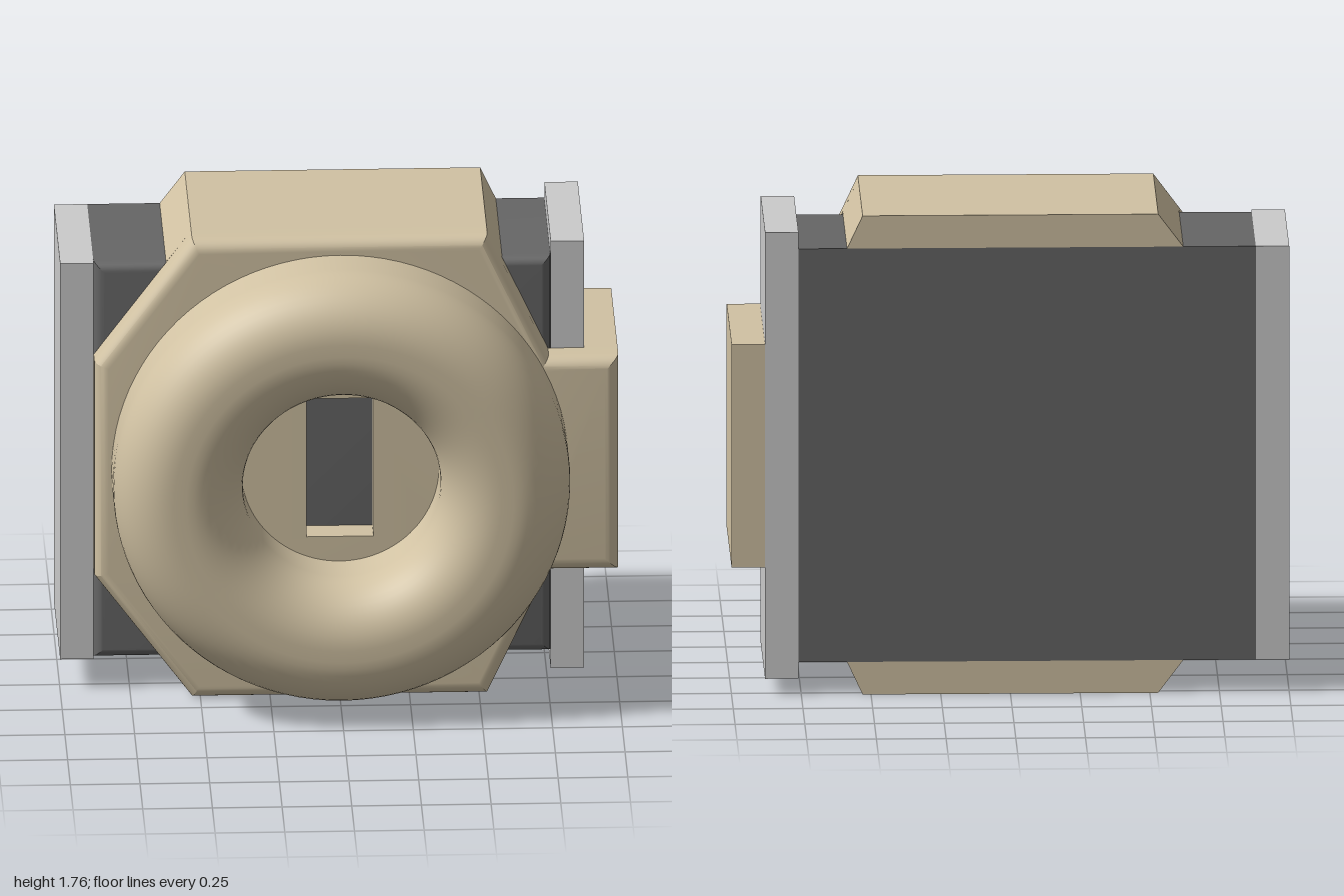
import * as THREE from 'three';
import { toCreasedNormals } from 'three/addons/utils/BufferGeometryUtils.js';

const BACK = -0.53, SEAT = 0.06, FACE = 0.17, MID = 0.88;

const beige = new THREE.MeshStandardMaterial({ color: 0xd1c2a3 });
const dark = new THREE.MeshStandardMaterial({ color: 0x666666 });
const grey = new THREE.MeshStandardMaterial({ color: 0xcccccc });

const rect = (x0, y0, x1, y1) => [[x0, y0], [x1, y0], [x1, y1], [x0, y1]];

// Moves every side of a counter-clockwise outline inward by d
function inset(pts, d) {
  const n = pts.length;
  const normal = (a, b) => {
    const l = Math.hypot(b[0] - a[0], b[1] - a[1]);
    return [(a[1] - b[1]) / l, (b[0] - a[0]) / l];
  };
  return pts.map((p, i) => {
    const n1 = normal(pts[(i + n - 1) % n], p), n2 = normal(p, pts[(i + 1) % n]);
    const k = d / (1 + n1[0] * n2[0] + n1[1] * n2[1]);
    return [p[0] + k * (n1[0] + n2[0]), p[1] + k * (n1[1] + n2[1])];
  });
}

// Prism from z0 to z1 whose front edge is rounded by r, with an optional hole
function slab(outline, z0, z1, r, hole) {
  const rings = [[0, z0], [0, z1 - r - 0.002]];
  const steps = r > 0 ? 8 : 0;
  for (let i = 0; i <= steps; i++) {
    const a = steps ? (i / steps) * Math.PI / 2 : 0;
    rings.push([r * (1 - Math.cos(a)), z1 - r + r * Math.sin(a)]);
  }
  const pos = [];
  const quad = (a, b, c, d) => pos.push(...a, ...b, ...c, ...a, ...c, ...d);
  const loops = rings.map(([d, z]) => inset(outline, d).map(p => [...p, z]));
  const walls = (lo, hi) => lo.forEach((p, i) => {
    const j = (i + 1) % lo.length;
    quad(p, lo[j], hi[j], hi[i]);
  });
  for (let k = 0; k + 1 < loops.length; k++) walls(loops[k], loops[k + 1]);
  if (hole) walls(hole.map(p => [...p, z1]), hole.map(p => [...p, z0]));

  // Flat front and back
  const cap = (pts, z, flip) => {
    const v = list => list.map(p => new THREE.Vector2(p[0], p[1]));
    const shape = new THREE.Shape(v(pts));
    if (hole) shape.holes.push(new THREE.Path(v(hole)));
    const g = new THREE.ShapeGeometry(shape).toNonIndexed().getAttribute('position');
    for (let i = 0; i < g.count; i += 3) {
      for (const k of flip ? [0, 2, 1] : [0, 1, 2]) pos.push(g.getX(i + k), g.getY(i + k), z);
    }
  };
  cap(loops[loops.length - 1], z1, false);
  cap(outline, z0, true);

  const geo = new THREE.BufferGeometry();
  geo.setAttribute('position', new THREE.Float32BufferAttribute(pos, 3));
  return toCreasedNormals(geo, 0.35);
}

export function createModel() {
  const model = new THREE.Group();
  model.name = 'component';
  const add = (name, geometry, material) => {
    const mesh = new THREE.Mesh(geometry, material);
    mesh.name = name;
    model.add(mesh);
    return mesh;
  };

  // Front plate with side tab and central slot
  const plate = [
    [-0.53, 0], [0.53, 0], [0.75, 0.47], [1, 0.47], [1, 1.29],
    [0.75, 1.29], [0.53, 1.76], [-0.53, 1.76], [-0.88, 1.29], [-0.88, 0.47],
  ];
  add('frontPlate', slab(plate, SEAT, FACE, 0.05, rect(-0.12, 0.62, 0.12, 1.15)), beige);

  // Parts of the housing that wrap back around the core
  const upper = [[-0.62, 1.64], [0.586, 1.64], [0.53, 1.76], [-0.53, 1.76]];
  const lower = upper.map(([x, y]) => [x, 2 * MID - y]).reverse();
  add('upperHousing', slab(upper, BACK, SEAT, 0), beige);
  add('lowerHousing', slab(lower, BACK, SEAT, 0), beige);
  add('sideTab', slab(rect(0.88, 0.47, 1, 1.29), BACK, SEAT, 0), beige);

  // Dark core block
  add('core', slab(rect(-0.88, 0.12, 0.76, 1.64), BACK, SEAT, 0.04), dark);

  // Side terminals
  add('rightTerminal', slab(rect(-1, 0.12, -0.88, 1.64), BACK, SEAT, 0), grey);
  add('leftTerminal', slab(rect(0.76, 0.06, 0.88, 1.7), BACK, SEAT, 0), grey);

  // Rounded ring on the front
  const R = 0.82, r = 0.355, top = 0.527, e = 0.21;
  const profile = [new THREE.Vector2(R, 0.12)];
  for (const [cx, start] of [[R - e, 0], [r + e, Math.PI / 2]]) {
    for (let i = 0; i <= 12; i++) {
      const a = start + (i / 12) * Math.PI / 2;
      profile.push(new THREE.Vector2(cx + e * Math.cos(a), top - e + e * Math.sin(a)));
    }
  }
  profile.push(new THREE.Vector2(r, 0.12));
  const ring = add('ring', new THREE.LatheGeometry(profile, 96), beige);
  ring.rotation.x = Math.PI / 2;
  ring.position.y = MID;

  return model;
}
